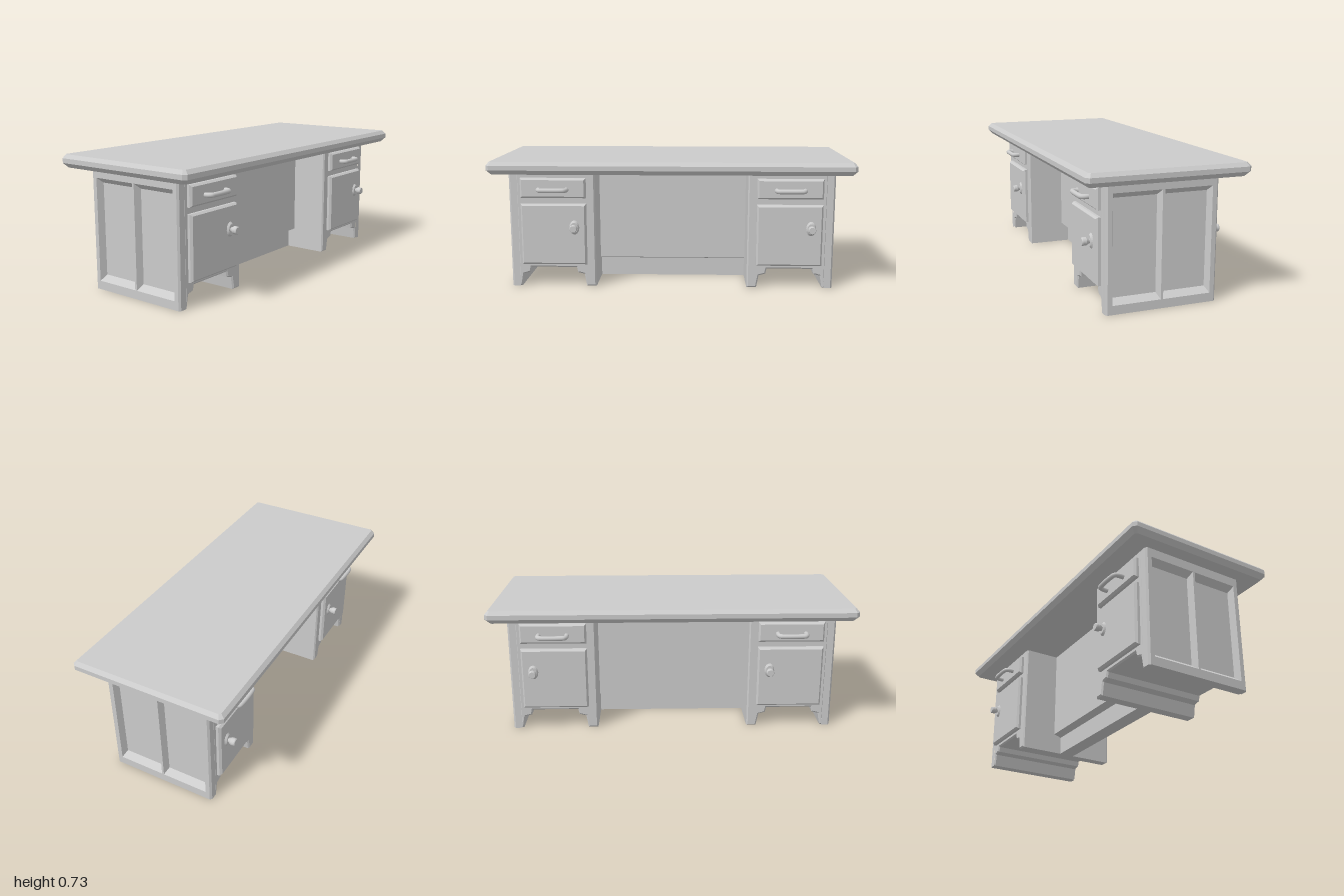
import * as THREE from 'three';

const material = new THREE.MeshStandardMaterial({ color: 0xcccccc, flatShading: true });
const smooth = new THREE.MeshStandardMaterial({ color: 0xcccccc });

function add(parent, name, geometry, mat = material) {
  const mesh = new THREE.Mesh(geometry, mat);
  mesh.name = name;
  parent.add(mesh);
  return mesh;
}

// Rectangles (optionally with cut corners) stacked along z: levels of [z, halfX, halfY, cut].
// Decreasing z turns the walls inward, for a recess.
function loft(levels, { start = false, end = true } = {}) {
  const rings = levels.map(([z, a, b, c = 0]) => (c
    ? [[a, c - b], [a, b - c], [a - c, b], [c - a, b], [-a, b - c], [-a, c - b], [c - a, -b], [a - c, -b]]
    : [[a, -b], [a, b], [-a, b], [-a, -b]]).map(([x, y]) => [x, y, z]));
  const n = rings[0].length, pos = [];
  const tri = (...points) => points.forEach((p) => pos.push(...p));
  for (let k = 0; k < rings.length - 1; k++) {
    for (let i = 0; i < n; i++) {
      const j = (i + 1) % n, lo = rings[k], hi = rings[k + 1];
      tri(lo[i], lo[j], hi[j]);
      tri(lo[i], hi[j], hi[i]);
    }
  }
  const first = rings[0], last = rings[rings.length - 1];
  for (let i = 1; i < n - 1; i++) {
    if (end) tri(last[0], last[i], last[i + 1]);
    if (start) tri(first[0], first[i + 1], first[i]);
  }
  const geometry = new THREE.BufferGeometry();
  geometry.setAttribute('position', new THREE.Float32BufferAttribute(pos, 3));
  geometry.computeVertexNormals();
  return geometry;
}

// Profile drawn in (z, y), run along x and centred on it.
function extrudeAlongX(points, width, bevel = 0) {
  const shape = new THREE.Shape(points.map(([z, y]) => new THREE.Vector2(z, y)));
  const depth = width - 2 * bevel;
  return new THREE.ExtrudeGeometry(shape, {
    depth, bevelEnabled: bevel > 0, bevelThickness: bevel, bevelSize: bevel, bevelOffset: -bevel, bevelSegments: 1,
  }).translate(0, 0, -depth / 2).rotateY(-Math.PI / 2);
}

const HEIGHT = 0.655, CENTRE = 0.666;

// Carcass with cut-out feet, and a framed end with two sunken panels (outer end at +z)
function pedestalBody() {
  const g = new THREE.Group();
  g.name = 'pedestalBody';
  const cutout = [[0.185, 0], [0.172, 0.07], [0.135, 0.08], [0.128, 0.11]];
  const top = HEIGHT + 0.012;
  const profile = [[-0.24, top], [-0.24, 0], ...cutout.map(([u, y]) => [-u, y]),
    ...cutout.slice().reverse(), [0.214, 0], [0.214, 0.045], [0.2, 0.045], [0.2, top]];
  add(g, 'carcass', extrudeAlongX(profile, 0.6, 0.008)).position.z = CENTRE;

  add(g, 'endFrameEdge', loft([[0.86, 0.3, HEIGHT / 2], [0.897, 0.3, HEIGHT / 2], [0.907, 0.29, HEIGHT / 2]],
    { end: false })).position.y = HEIGHT / 2;

  const rect = (S, x, y, a, b) => new S([[-a, -b], [a, -b], [a, b], [-a, b]]
    .map(([u, v]) => new THREE.Vector2(x + u, y + v)));
  const face = rect(THREE.Shape, 0, HEIGHT / 2, 0.29, HEIGHT / 2);
  for (const x of [-0.136, 0.136]) {
    face.holes.push(rect(THREE.Path, x, 0.326, 0.13, 0.279));
    add(g, 'sunkenPanel', loft([[0.907, 0.13, 0.279], [0.872, 0.115, 0.25]])).position.set(x, 0.326, 0);
  }
  add(g, 'endFrame', new THREE.ShapeGeometry(face)).position.z = 0.907;
  return g;
}

// Raised front with chamfered edge, facing +x
function raisedFront(halfZ, halfY) {
  return loft([[0.295, halfZ, halfY], [0.314, halfZ, halfY], [0.326, halfZ - 0.01, halfY - 0.01]])
    .rotateY(Math.PI / 2);
}

const lathe = (points) => new THREE.LatheGeometry(points.map(([r, h]) => new THREE.Vector2(r, h)), 24)
  .rotateZ(-Math.PI / 2);

// Drawer, door and their hardware, facing +x
function pedestalFront(knobZ, handleReach) {
  const g = new THREE.Group();
  g.name = 'pedestalFront';
  add(g, 'drawer', raisedFront(0.183, 0.056)).position.y = 0.567;
  add(g, 'door', raisedFront(0.183, 0.173)).position.y = 0.305;

  // Bowed bar handle
  const out = handleReach - 0.013;
  const path = new THREE.CatmullRomCurve3([
    [0.315, -0.077], [out - 0.02, -0.077], [out - 0.004, -0.068], [out, -0.05],
    [out, 0.05], [out - 0.004, 0.068], [out - 0.02, 0.077], [0.315, 0.077],
  ].map(([x, z]) => new THREE.Vector3(x, 0.56, z)), false, 'centripetal');
  add(g, 'drawerHandle', new THREE.TubeGeometry(path, 40, 0.013, 12), smooth);

  // Oval plate and flared knob
  const plate = add(g, 'knobPlate', lathe([[0.04, 0.318], [0.04, 0.326], [0.029, 0.336], [0, 0.336]]));
  plate.position.set(0, 0.347, knobZ);
  plate.scale.z = 0.7;
  const knob = add(g, 'doorKnob', lathe([[0.012, 0.33], [0.012, 0.339], [0.021, 0.354],
    [0.021, 0.373], [0.018, 0.378], [0, 0.378]]));
  knob.position.set(0, 0.347, knobZ);
  return g;
}

export function createModel() {
  const desk = new THREE.Group();
  desk.name = 'desk';

  // Top slab, chamfered above and below
  add(desk, 'deskTop', loft([
    [HEIGHT, 0.408, 0.977, 0.012], [0.68, 0.431, 1, 0.018], [0.705, 0.431, 1, 0.018], [0.725, 0.413, 0.983, 0.01],
  ], { start: true }).rotateX(-Math.PI / 2));

  // Two pedestals, each opening on both long sides
  for (const end of [1, -1]) {
    const pedestal = new THREE.Group();
    pedestal.name = end > 0 ? 'frontPedestal' : 'backPedestal';
    const body = pedestalBody();
    if (end < 0) body.rotation.y = Math.PI;
    pedestal.add(body);
    for (const side of [1, -1]) {
      const front = pedestalFront(-0.117 * side, side > 0 ? 0.374 : 0.39);
      front.position.z = end * 0.658;
      if (side < 0) front.rotation.y = Math.PI;
      pedestal.add(front);
    }
    desk.add(pedestal);
  }

  // Central panel between the pedestals, stepped in near the floor
  const half = [[0.045, 0], [0.045, 0.105], [0.09, 0.12], [0.09, HEIGHT]];
  const outline = [...half, ...half.slice().reverse().map(([x, y]) => [-x, y])];
  add(desk, 'kneeholePanel', extrudeAlongX(outline, 0.87).rotateY(Math.PI / 2));
  return desk;
}
